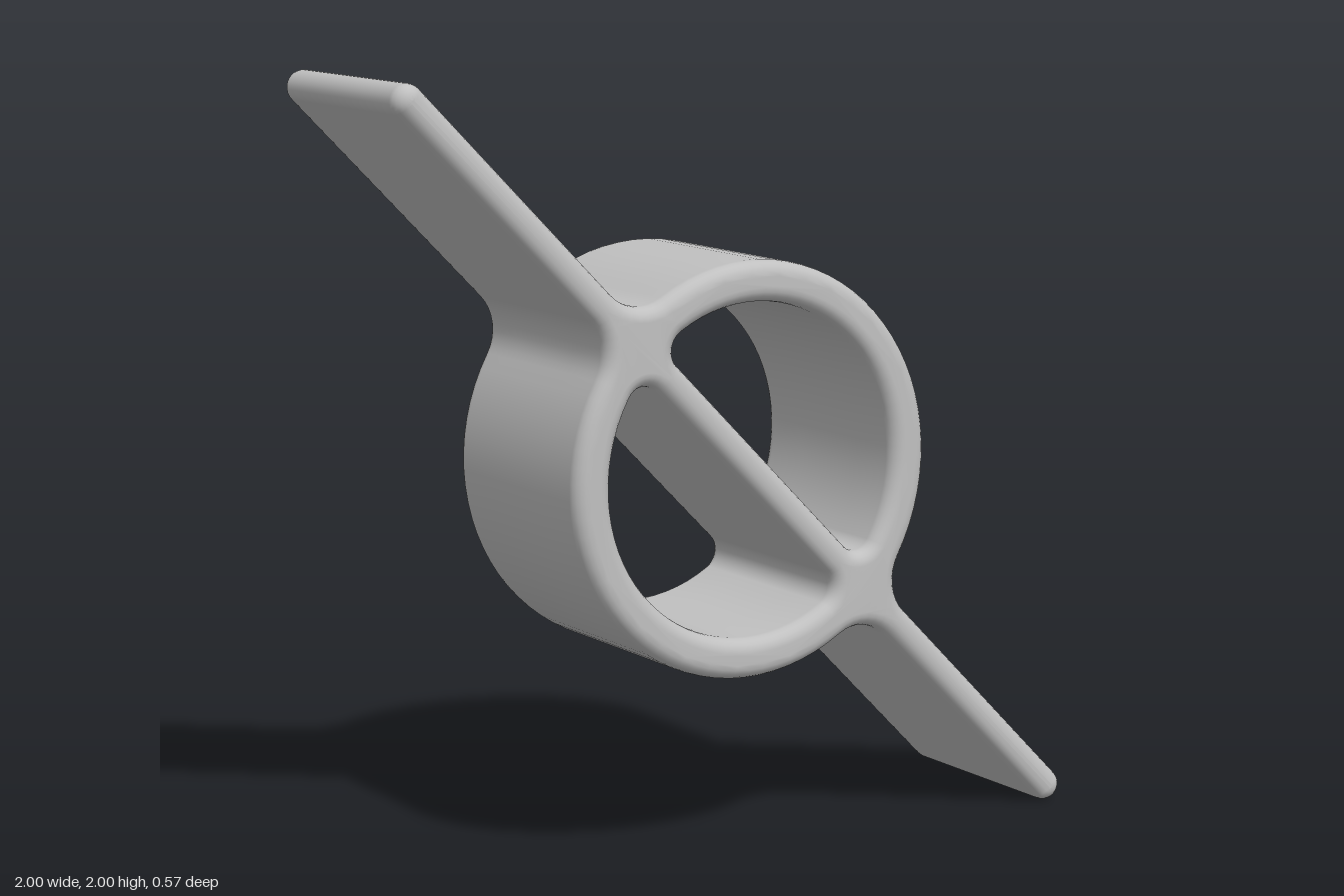
import * as THREE from 'three';
import { mergeVertices } from 'three/addons/utils/BufferGeometryUtils.js';

const OUTER = 0.527, INNER = 0.423; // ring radii
const HALF = 0.042, REACH = 1.356; // bar half thickness, centre to end cap
const DEPTH = 0.286, EDGE = 0.037; // half depth, edge rounding
const PI = Math.PI;

// Adds an arc, turned by `turn` about the origin, skipping repeated points
function addArc(points, turn, cx, cy, r, from, to, steps) {
  for (let i = 0; i <= steps; i++) {
    const a = from + (to - from) * i / steps;
    const p = new THREE.Vector2(cx + r * Math.cos(a), cy + r * Math.sin(a))
      .rotateAround(new THREE.Vector2(), turn);
    const known = q => q && q.distanceTo(p) < 1e-4;
    if (!known(points[points.length - 1]) && !known(points[0])) points.push(p);
  }
}

// Bar and ring as one silhouette, with blended outside corners
function outline() {
  const points = [], f = 0.12, v = HALF + f;
  const u = Math.sqrt((OUTER + f) ** 2 - v * v), phi = Math.atan2(v, u);
  for (const turn of [0, PI]) {
    addArc(points, turn, REACH, 0, HALF, -PI / 2, PI / 2, 14);
    addArc(points, turn, u, v, f, -PI / 2, phi - PI, 8);
    addArc(points, turn, 0, 0, OUTER, phi, PI - phi, 32);
    addArc(points, turn, -u, v, f, -phi, -PI / 2, 8);
  }
  return points;
}

// Half-round opening on one side of the bar, with rounded corners
function opening(turn) {
  const points = [], f = 0.05, v = HALF + f;
  const u = Math.sqrt((INNER - f) ** 2 - v * v), phi = Math.atan2(v, u);
  addArc(points, turn, u, v, f, -PI / 2, phi, 10);
  addArc(points, turn, 0, 0, INNER, phi, PI - phi, 32);
  addArc(points, turn, -u, v, f, PI - phi, PI * 1.5, 10);
  return points;
}

export function createModel() {
  const group = new THREE.Group();
  group.name = 'ringWithDiagonalBar';

  const lightGrey = new THREE.MeshStandardMaterial({ color: 0xc0c0c0 });
  lightGrey.name = 'lightGrey';

  const shape = new THREE.Shape(outline());
  shape.holes = [0, PI].map(turn => new THREE.Path(opening(turn)));

  let geometry = new THREE.ExtrudeGeometry(shape, {
    depth: 2 * (DEPTH - EDGE), steps: 4,
    bevelEnabled: true, bevelThickness: EDGE, bevelSize: EDGE,
    bevelOffset: -EDGE, bevelSegments: 5,
  });
  geometry.translate(0, 0, EDGE - DEPTH);

  // Smooth shading over the whole rounded body
  geometry.deleteAttribute('uv');
  geometry.deleteAttribute('normal');
  geometry.clearGroups();
  geometry = mergeVertices(geometry, 1e-5);
  geometry.computeVertexNormals();

  const body = new THREE.Mesh(geometry, lightGrey);
  body.name = 'ringAndBar';
  body.rotation.z = -PI / 4;
  body.position.y = 1;
  group.add(body);
  return group;
}
